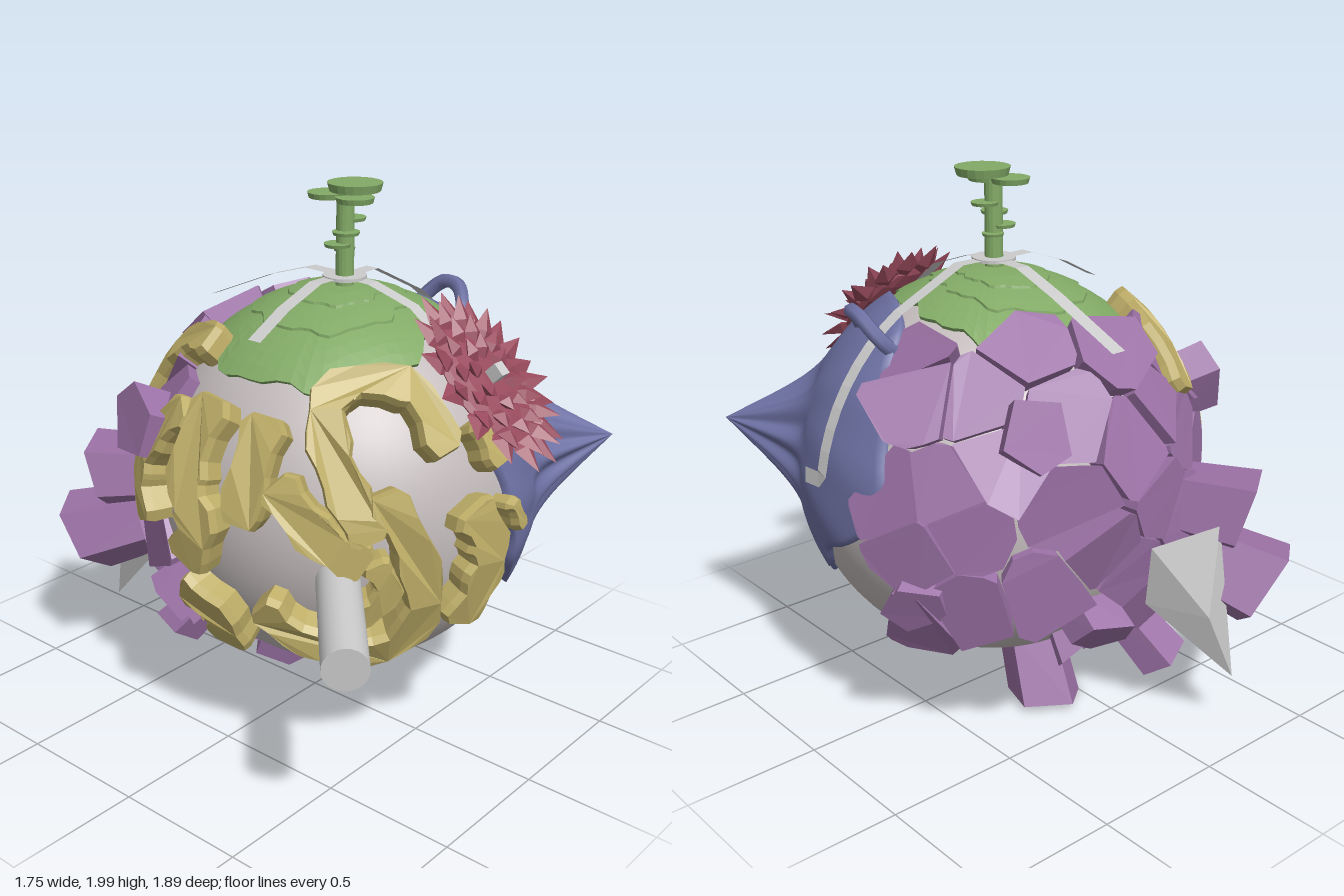
import * as THREE from 'three';
import { ConvexGeometry } from 'three/addons/geometries/ConvexGeometry.js';

const V = (x, y, z) => new THREE.Vector3(x, y, z);
const C = V(0.12, 0.9, 0.04), R = 0.71, TAU = Math.PI * 2;
const mat = (color, flatShading = true, side = THREE.FrontSide) =>
  new THREE.MeshStandardMaterial({ color, flatShading, side });
const grey = mat(0xcccccc), greyThin = mat(0xcccccc, true, THREE.DoubleSide);
const purple = mat(0x9c72a6), yellow = mat(0xbfae68), green = mat(0x82aa66), red = mat(0x984a5c);
const blue = mat(0x6e72a4, false), stone = mat(0xc4bcbc, false);

let seed = 7;
const rnd = () => (seed = (seed * 16807) % 2147483647) / 2147483647;

// Tangent frame on the ball: u to the right, v up, n outward
function frame(dir) {
  const n = dir.clone().normalize();
  const u = Math.abs(n.y) > 0.999 ? V(1, 0, 0) : V(0, 1, 0).cross(n).normalize();
  return { n, u, v: n.clone().cross(u) };
}
const dirAt = (f, a, b) => f.n.clone().addScaledVector(f.u, a).addScaledVector(f.v, b).normalize();

function add(parent, name, geometry, material, pos) {
  const m = new THREE.Mesh(geometry, material);
  m.name = name;
  if (pos) m.position.copy(pos);
  parent.add(m);
  return m;
}

// Slab with a polygon outline (tangent coordinates), bent around the ball
function slab(f, poly, r0, r1, { taper = 0, tilt = 0, tiltDir = 0, bevel = 0 } = {}) {
  const shape = new THREE.Shape(poly.map(p => new THREE.Vector2(p[0], p[1])));
  const g = new THREE.ExtrudeGeometry(shape, {
    depth: bevel ? 0.75 : 1, bevelEnabled: bevel > 0, bevelSegments: 1, bevelSize: bevel,
    bevelOffset: -bevel, bevelThickness: 0.25
  });
  const P = g.attributes.position;
  for (let i = 0; i < P.count; i++) {
    const a = P.getX(i), b = P.getY(i), t = P.getZ(i), k = 1 - taper * t;
    const r = r0 + (r1 - r0) * t + Math.max(t, 0) * tilt * (a * Math.cos(tiltDir) + b * Math.sin(tiltDir));
    const q = dirAt(f, a * k, b * k).multiplyScalar(r).add(C);
    P.setXYZ(i, q.x, q.y, q.z);
  }
  g.computeVertexNormals();
  return g;
}

// Polar sheet over the ball: edge(phi) is its angular radius, height(t, theta, phi) its distance
function polarSheet(f, ts, seg, edge, height) {
  const pos = [], idx = [];
  ts.forEach((t, i) => {
    for (let j = 0; j < seg; j++) {
      const phi = j / seg * TAU, th = Math.min(t, 1) * edge(phi);
      const d = f.n.clone().multiplyScalar(Math.cos(th))
        .addScaledVector(f.u, Math.sin(th) * Math.cos(phi)).addScaledVector(f.v, Math.sin(th) * Math.sin(phi));
      pos.push(...d.multiplyScalar(t > 1 ? R - 0.02 : height(t, th, phi)).add(C).toArray());
      if (i) {
        const k = (j + 1) % seg, a = (i - 1) * seg, b = i * seg;
        idx.push(a + j, b + j, b + k, a + j, b + k, a + k);
      }
    }
  });
  const g = new THREE.BufferGeometry();
  g.setAttribute('position', new THREE.Float32BufferAttribute(pos, 3));
  g.setIndex(idx);
  g.computeVertexNormals();
  return g;
}
const ringTable = (tab, phi) => {
  const x = ((phi / TAU) % 1) * tab.length, i = Math.floor(x), s = x - i;
  return THREE.MathUtils.lerp(tab[i % tab.length], tab[(i + 1) % tab.length], s * s * (3 - 2 * s));
};

// Winding ridge: a centre line given in a flat projection, lifted onto the ball and widened
function ridge(plane, width, pts) {
  const rr = 0.78;
  const dirs = pts.map(([p, q]) => {
    let a = p - (plane === 'left' ? C.z : C.x), b = q - (plane === 'top' ? C.z : C.y);
    const s = Math.min(1, 0.98 * rr / Math.hypot(a, b));
    a *= s; b *= s;
    const c = Math.sqrt(rr * rr - a * a - b * b);
    return (plane === 'front' ? V(a, b, c) : plane === 'left' ? V(-c, b, a) : V(a, c, b)).normalize();
  });
  const f = frame(dirs.reduce((s, d) => s.add(d), V(0, 0, 0)));
  const line = new THREE.SplineCurve(dirs.map(d => new THREE.Vector2(d.dot(f.u), d.dot(f.v)).divideScalar(d.dot(f.n))));
  const left = [], right = [], n = pts.length * 3;
  for (let i = 0; i <= n; i++) {
    const p = line.getPoint(i / n), t = line.getTangent(i / n);
    const w = width / rr * (i % n ? 1 + 0.15 * Math.sin(i * 1.9) : 0.7);
    left.push([p.x - t.y * w, p.y + t.x * w]);
    right.unshift([p.x + t.y * w, p.y - t.x * w]);
  }
  return slab(f, left.concat(right), 0.69, 0.805, { bevel: 0.014 });
}

// Flat strap following a path over the ball
function strap(path, w = 0.028) {
  const pos = [], idx = [];
  path.forEach((p, i) => {
    const t = path[Math.min(i + 1, path.length - 1)].clone().sub(path[Math.max(i - 1, 0)]);
    const s = t.cross(p.clone().sub(C)).normalize().multiplyScalar(w);
    pos.push(...p.clone().add(s).toArray(), ...p.clone().sub(s).toArray());
    if (i) { const k = i * 2; idx.push(k - 2, k, k - 1, k - 1, k, k + 1); }
  });
  const g = new THREE.BufferGeometry();
  g.setAttribute('position', new THREE.Float32BufferAttribute(pos, 3));
  g.setIndex(idx);
  g.computeVertexNormals();
  return g;
}

export function createModel() {
  const root = new THREE.Group();
  const group = name => { const g = new THREE.Group(); g.name = name; root.add(g); return g; };
  add(root, 'ball', new THREE.SphereGeometry(R, 64, 40), stone, C);

  // Blue sheet drawn out to a pleated point, with a loop on its upper rim
  const bEdge = [64, 64, 61, 52, 49, 46, 44, 41, 42, 43, 42, 47];
  const bTs = [...Array(29).keys()].map(i => (i / 28) ** 1.4).concat(1.001);
  add(root, 'pointedSheet', polarSheet(frame(V(0.71, 0.13, 0.735)), bTs, 120,
    p => (ringTable(bEdge, p) + 1.2 * Math.sin(p * 5 + 1) + 0.6 * Math.sin(p * 14)) * Math.PI / 180,
    (t, th, p) => {
      const k = Math.max(0, 1 - th / 0.42);
      const pleat = 0.018 * Math.sin(p * 9 + Math.sin(p * 2)) * Math.sin(Math.PI * Math.min(1, th / 0.45));
      return 0.733 + 0.3 * k ** 2.2 + pleat + 0.004 * Math.sin(p * 13 + th * 6) * t;
    }), blue);
  const loop = new THREE.CatmullRomCurve3([V(.5, 1.4, .29), V(.56, 1.49, .25), V(.64, 1.545, .17),
    V(.66, 1.545, .09), V(.63, 1.47, .01), V(.56, 1.4, -.01)]);
  add(root, 'sheetLoop', new THREE.TubeGeometry(loop, 20, 0.028, 6), blue);

  // Green terraced cap
  const gEdge = [27, 32, 41, 46, 46, 45, 46, 46, 40, 33, 31, 28];
  add(root, 'terracedCap', polarSheet(frame(V(0, 1, 0)),
    [0, .2, .35, .36, .44, .5, .6, .61, .7, .8, .9, 1, 1.001], 60,
    p => (ringTable(gEdge, p) + 1.2 * Math.sin(p * 9) + Math.sin(p * 16)) * Math.PI / 180,
    t => 0.725 + [.355, .605].reduce((s, e) => s + (t < e ? 0.008 : 0), 0)), green);

  // Stalk with small disc leaves
  const stalk = group('stalk');
  add(stalk, 'stem', new THREE.CylinderGeometry(.032, .034, .4, 16), green, V(.1, 1.78, .05));
  for (const [x, y, z, r, h] of [[.14, 1.985, .06, .1, .03], [.08, 1.955, -.02, .07, .02], [.09, 1.95, .1, .07, .02],
    [.14, 1.87, .05, .05, .012], [.08, 1.83, .07, .05, .012], [.07, 1.785, .04, .05, .012], [.12, 1.76, .03, .04, .01]])
    add(stalk, 'discLeaf', new THREE.CylinderGeometry(r, r * 0.92, h, 20), green, V(x, y, z));

  // Grey straps and collar
  const straps = group('straps');
  const sideArc = [...Array(9).keys()].map(i => {
    const e = (58 - i * 6) * Math.PI / 180;
    return V(C.x + .755 * Math.cos(e), C.y + .755 * Math.sin(e), .06);
  });
  for (const path of [
    [V(.1, 1.67, .04), V(-.05, 1.67, .04), V(-.22, 1.61, .04), V(-.37, 1.53, .04)],
    [V(.11, 1.67, .04), V(.12, 1.67, -.13), V(.13, 1.61, -.32), V(.13, 1.48, -.63)],
    [V(.1, 1.67, .05), V(.26, 1.67, .05), ...sideArc, V(.86, 1.0, .09), V(.855, .99, .18)],
    [V(.1, 1.67, .04), V(.11, 1.66, .17), V(.13, 1.6, .34), V(.15, 1.42, .56)]])
    add(straps, 'strap', strap(path), greyThin);
  add(straps, 'collar', new THREE.CylinderGeometry(.08, .08, .012, 20), grey, V(.1, 1.668, .05));

  // Grey peg
  const a = V(-.4, .79, .44), b = V(-.82, .755, .82);
  add(root, 'peg', new THREE.CylinderGeometry(.077, .077, a.distanceTo(b), 24), mat(0xcccccc, false), a.clone().lerp(b, .5))
    .quaternion.setFromUnitVectors(V(0, 1, 0), b.clone().sub(a).normalize());

  // Yellow winding ridges
  const ridges = group('windingRidges');
  const addRidge = (...line) => add(ridges, 'ridge', ridge(...line), yellow);
  addRidge('front', .075, [[-.15, 1.22], [-.16, 1.42], [-.34, 1.43], [-.44, 1.28], [-.45, 1.1], [-.42, .96]]);
  addRidge('front', .08, [[-.37, 1.13], [-.3, .9], [-.25, .64], [-.34, .5], [-.5, .56], [-.6, .7]]);
  addRidge('front', .085, [[-.11, 1.04], [-.04, .9], [-.05, .75], [-.1, .59]]);
  addRidge('front', .03, [[.07, 1.02], [.13, .9]]);
  addRidge('front', .05, [[.01, 1.3], [.04, 1.14]]);
  addRidge('front', .075, [[-.57, 1.15], [-.53, .98], [-.43, .88]]);
  addRidge('front', .05, [[-.42, .9], [-.37, .77], [-.45, .65]]);
  addRidge('top', .07, [[-.29, -.54], [-.29, -.35], [-.35, -.17]]);
  addRidge('left', .07, [[-.12, 1.3], [-.27, 1.16], [-.34, 1.0], [-.28, .84]]);
  addRidge('left', .09, [[.0, 1.36], [-.04, 1.1], [.03, .94], [-.04, .78]]);
  addRidge('left', .08, [[.22, 1.34], [.21, .98]]);
  addRidge('left', .085, [[-.1, .66], [.06, .58], [.04, .44]]);

  // Red flower
  const flower = group('flower');
  flower.position.set(.16, 1.38, .63);
  const ff = frame(V(0, .7, .71));
  flower.quaternion.setFromRotationMatrix(new THREE.Matrix4().makeBasis(ff.u, ff.v, ff.n));
  add(flower, 'flowerBase', new THREE.SphereGeometry(1, 14, 8), red).scale.set(.18, .25, .04);
  [[14, .185, .09, .2], [13, .165, .085, .6], [11, .125, .06, .5], [8, .075, .05, .6]].forEach(([n, rho, len, lift], k) => {
    for (let i = 0; i < n; i++) {
      const p = (i + k * 0.5) / n * TAU, c = Math.cos(p), s = Math.sin(p) * 1.5;
      const m = add(flower, 'petal', new THREE.OctahedronGeometry(1), red, V(c * rho, s * rho, 0.005 + 0.014 * k));
      const y = V(c, s, lift).normalize(), x = V(-s, c, 0).normalize();
      m.quaternion.setFromRotationMatrix(new THREE.Matrix4().makeBasis(x, y, x.clone().cross(y)));
      m.scale.set(0.048 - k * .004, len * (0.9 + 0.25 * rnd()), 0.024);
    }
  });
  add(flower, 'flowerPin', new THREE.BoxGeometry(.045, .05, .08), grey, V(0, 0, .05));

  // Purple cracked plates: cells around scattered sites, clipped by their bisectors
  const plates = group('crackedPlates'), N = 108, sites = [];
  for (let i = 0; i < N; i++) {
    const y = 1 - (i + .5) / N * 2, r = Math.sqrt(1 - y * y), p = i * 2.39996;
    sites.push(V(r * Math.cos(p), y, r * Math.sin(p)).add(V(rnd() - .5, rnd() - .5, rnd() - .5).multiplyScalar(.18)).normalize());
  }
  for (const c of sites) {
    if (c.x * .12 - c.z * .99 < .3 || c.y > .8 || c.y < -.8 || (c.x > .2 && c.y < -.5)) continue;
    const f = frame(c);
    let poly = [...Array(8).keys()].map(i => [.26 * Math.cos(i * TAU / 8), .26 * Math.sin(i * TAU / 8)]);
    for (const s of sites) {
      const d = c.clone().sub(s);
      if (s === c || d.length() > 0.8) continue;
      const side = p => d.dot(f.n) + d.dot(f.u) * p[0] + d.dot(f.v) * p[1];
      poly = poly.flatMap((p, i) => {
        const q = poly[(i + 1) % poly.length], sp = side(p), sq = side(q), k = sp / (sp - sq);
        const out = sp >= 0 ? [p] : [];
        if (sp * sq < 0) out.push([p[0] + (q[0] - p[0]) * k, p[1] + (q[1] - p[1]) * k]);
        return out;
      });
    }
    const opt = { taper: -0.03 + 0.06 * rnd(), tilt: 0.25 * rnd(), tiltDir: rnd() * TAU };
    add(plates, 'plate', slab(f, poly.map(p => [p[0] * .96, p[1] * .96]), 0.68, 0.765 + 0.035 * rnd(), opt), purple);
  }

  // Purple chunks standing out from the plates
  for (const [x, y, z, s] of [[-.4, .54, -.89, .2], [-.36, .82, -.82, .22], [.14, .015, -.27, .19], [-.22, .17, -.55, .13],
    [.77, .62, -.33, .18], [-.55, .52, -.25, .16], [-.58, 1.2, -.38, .2], [.47, 1.28, -.63, .2], [-.4, .42, -.3, .14], [.2, .45, -.66, .17]]) {
    const n = V(x, y, z).sub(C), turn = rnd() * TAU;
    const poly = [...Array(5).keys()].map(i => {
      const p = turn + (i + .35 * rnd()) * TAU / 5;
      return [s * Math.cos(p), s * Math.sin(p)];
    });
    add(plates, 'chunk', slab(frame(n), poly, .66, n.length(), { taper: .2, tilt: .2, tiltDir: turn }), purple);
  }

  // Grey shard at the back
  add(root, 'shard', new ConvexGeometry([V(-.25, .22, -.87), V(-.25, .45, -.66), V(.08, .8, -.76), V(-.2, .82, -.82),
    V(.04, .55, -.7), V(-.36, .6, -.7), V(-.12, .5, -.86)]), grey);
  return root;
}
